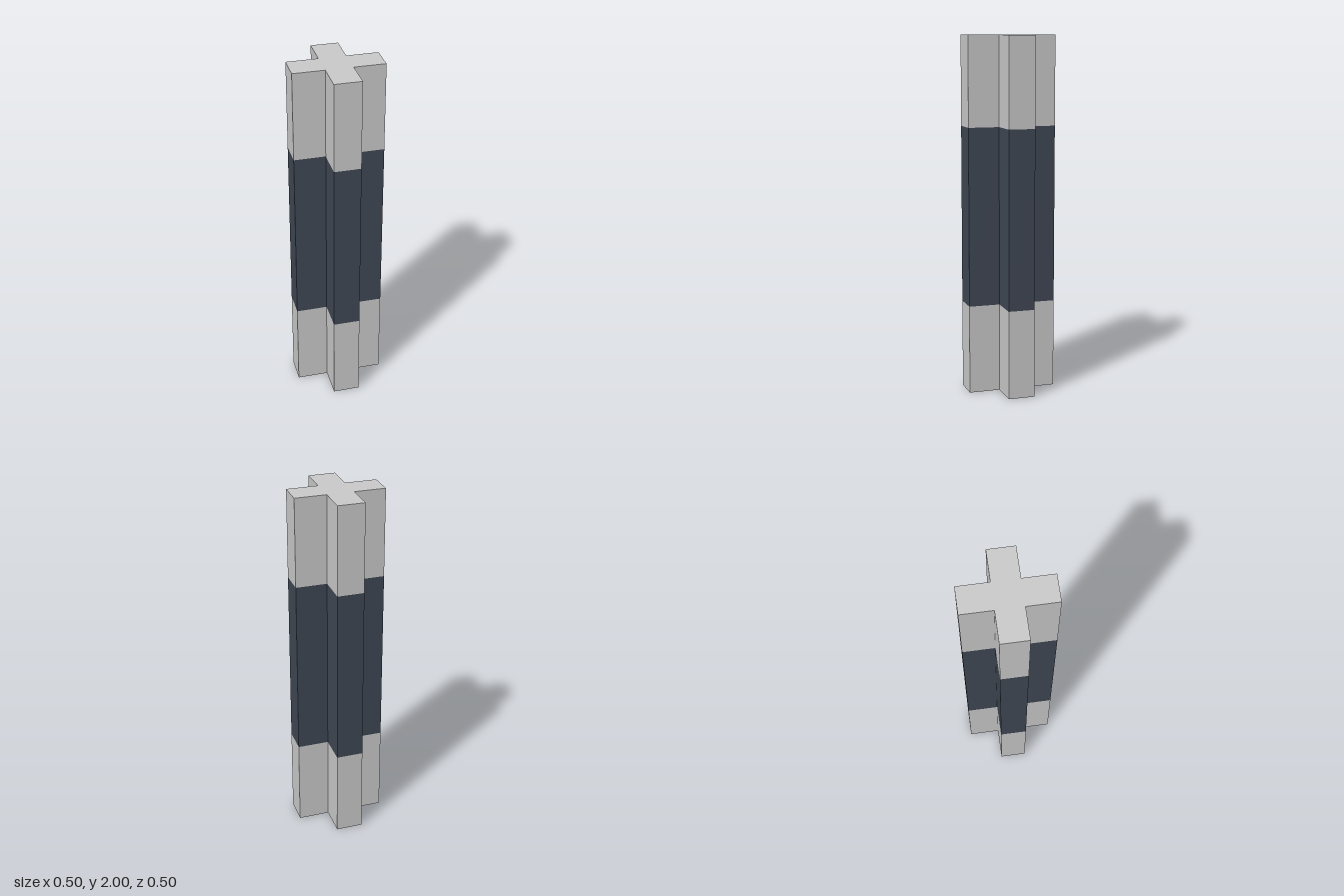
import * as THREE from 'three';

const ARM = 0.25;   // reach of each arm from the centre
const HALF = 0.075; // half width of an arm

// Plus-shaped outline, counter-clockwise: three corners per arm, turned four times
function plusOutline() {
  const points = [];
  for (let i = 0; i < 4; i++) {
    for (const [x, y] of [[HALF, -HALF], [ARM, -HALF], [ARM, HALF]]) {
      points.push(new THREE.Vector2(x, y).rotateAround(new THREE.Vector2(), i * Math.PI / 2));
    }
  }
  return points;
}

// Open tube of flat walls following the outline from y0 to y1
function wallGeometry(outline, y0, y1) {
  const positions = [];
  outline.forEach((a, i) => {
    const b = outline[(i + 1) % outline.length];
    const a0 = [a.x, y0, -a.y], b0 = [b.x, y0, -b.y];
    const a1 = [a.x, y1, -a.y], b1 = [b.x, y1, -b.y];
    positions.push(...a0, ...b0, ...b1, ...a0, ...b1, ...a1);
  });
  const geometry = new THREE.BufferGeometry();
  geometry.setAttribute('position', new THREE.Float32BufferAttribute(positions, 3));
  geometry.computeVertexNormals();
  return geometry;
}

export function createModel() {
  const group = new THREE.Group();
  group.name = 'plusColumn';
  const grey = new THREE.MeshStandardMaterial({ color: 0xcccccc, side: THREE.DoubleSide });
  const dark = new THREE.MeshStandardMaterial({ color: 0x404855, side: THREE.DoubleSide });
  const outline = plusOutline();

  const add = (name, geometry, material) => {
    const mesh = new THREE.Mesh(geometry, material);
    mesh.name = name;
    group.add(mesh);
  };

  // Stacked wall sections, open at the foot
  add('lowerSection', wallGeometry(outline, 0, 0.5), grey);
  add('middleBand', wallGeometry(outline, 0.5, 1.5), dark);
  add('upperSection', wallGeometry(outline, 1.5, 2), grey);

  // Flat lid closing the top
  const lid = new THREE.ShapeGeometry(new THREE.Shape(outline));
  lid.rotateX(-Math.PI / 2).translate(0, 2, 0);
  add('topCap', lid, grey);

  return group;
}
